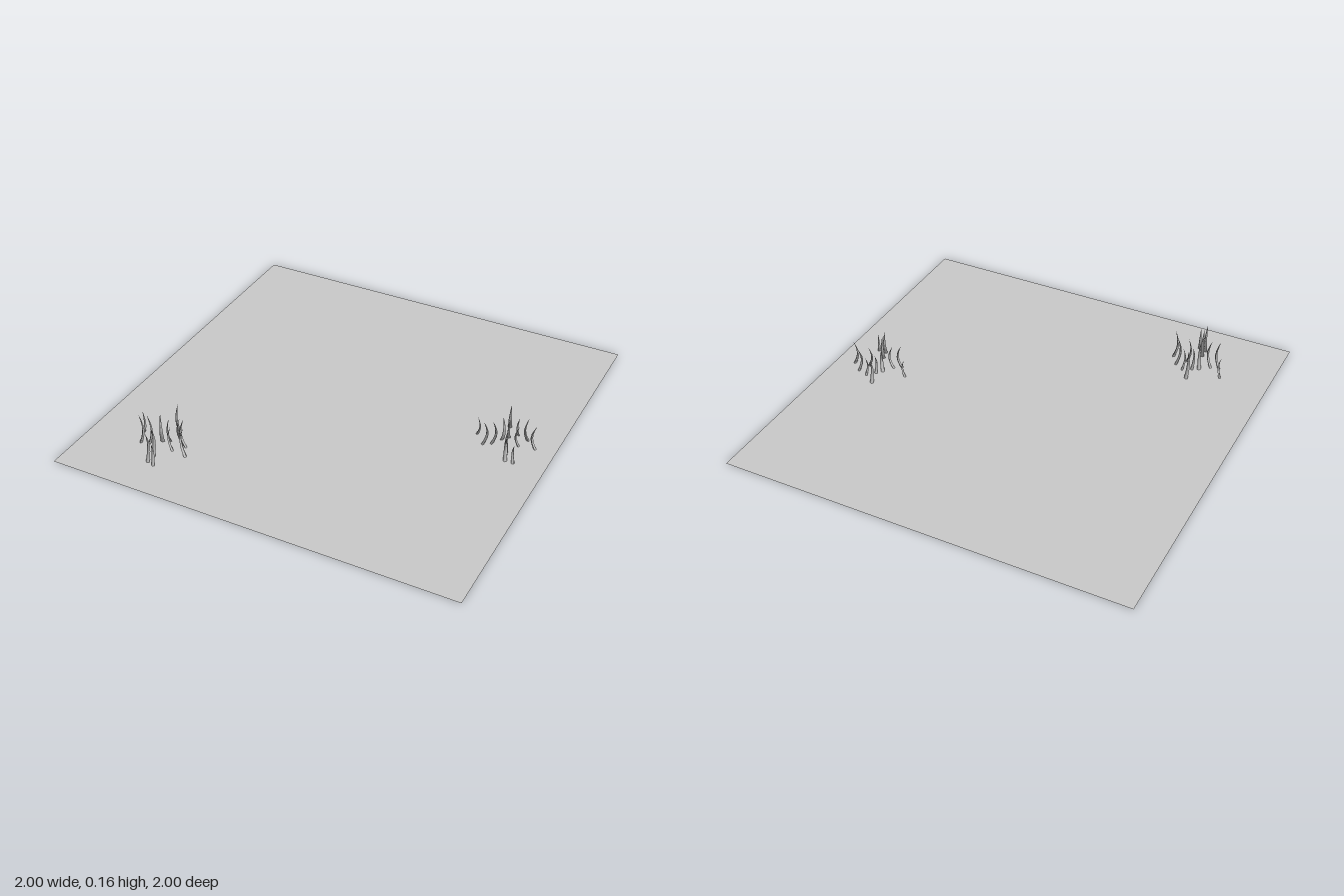
import * as THREE from 'three';

const material = new THREE.MeshStandardMaterial({ color: 0xcccccc, side: THREE.DoubleSide });

// Blade spots inside a clump: x, z, size
const SPOTS = [
  [0.01, -0.13, 1], [-0.13, -0.06, 0.75], [-0.095, 0.01, 1], [-0.055, 0, 1],
  [-0.015, -0.03, 1], [0.01, -0.05, 0.8], [0.05, -0.075, 0.8], [0.09, -0.045, 1],
  [0.05, 0, 0.85], [0.125, 0.01, 1], [0.005, 0.065, 1], [0.005, 0.11, 1], [0.04, 0.125, 0.78],
];

// Tapered four-sided blade, bowed like a crescent along x
function bladeGeometry() {
  const g = new THREE.CylinderGeometry(1, 1, 1, 4, 6, true);
  const p = g.attributes.position;
  for (let i = 0; i < p.count; i++) {
    const t = p.getY(i) + 0.5;
    const r = 0.0085 * (1 - Math.pow(t, 2.2)) + 0.0006;
    const bow = 0.02 * (0.5 - Math.sin(Math.PI * t * 0.95)) + 0.002 * t;
    p.setXYZ(i, p.getX(i) * r * 0.75 + bow, t * 0.155, p.getZ(i) * r);
  }
  g.computeVertexNormals();
  return g;
}

// Ring of blades whose bellies face the clump centre
function grassClump(name, blade, x, z, turn, heightScale) {
  const clump = new THREE.Group();
  clump.name = name;
  SPOTS.forEach(([bx, bz, size], i) => {
    const mesh = new THREE.Mesh(blade, material);
    mesh.name = `grassBlade${i + 1}`;
    mesh.position.set(bx, 0, bz);
    mesh.rotation.y = Math.atan2(-bz, bx);
    mesh.scale.setScalar(size);
    clump.add(mesh);
  });
  clump.position.set(x, 0, z);
  clump.rotation.y = turn;
  clump.scale.y = heightScale;
  return clump;
}

export function createModel() {
  const model = new THREE.Group();
  model.name = 'grassPatch';

  // Flat square of soil
  const soil = new THREE.Mesh(new THREE.PlaneGeometry(2, 2).rotateX(-Math.PI / 2), material);
  soil.name = 'groundSheet';
  model.add(soil);

  // Two clumps, the second turned and shorter
  const blade = bladeGeometry();
  model.add(grassClump('tallGrassClump', blade, -0.625, 0.69, 0, 1));
  model.add(grassClump('shortGrassClump', blade, 0.772, -0.042, 0.305, 0.8));
  return model;
}
